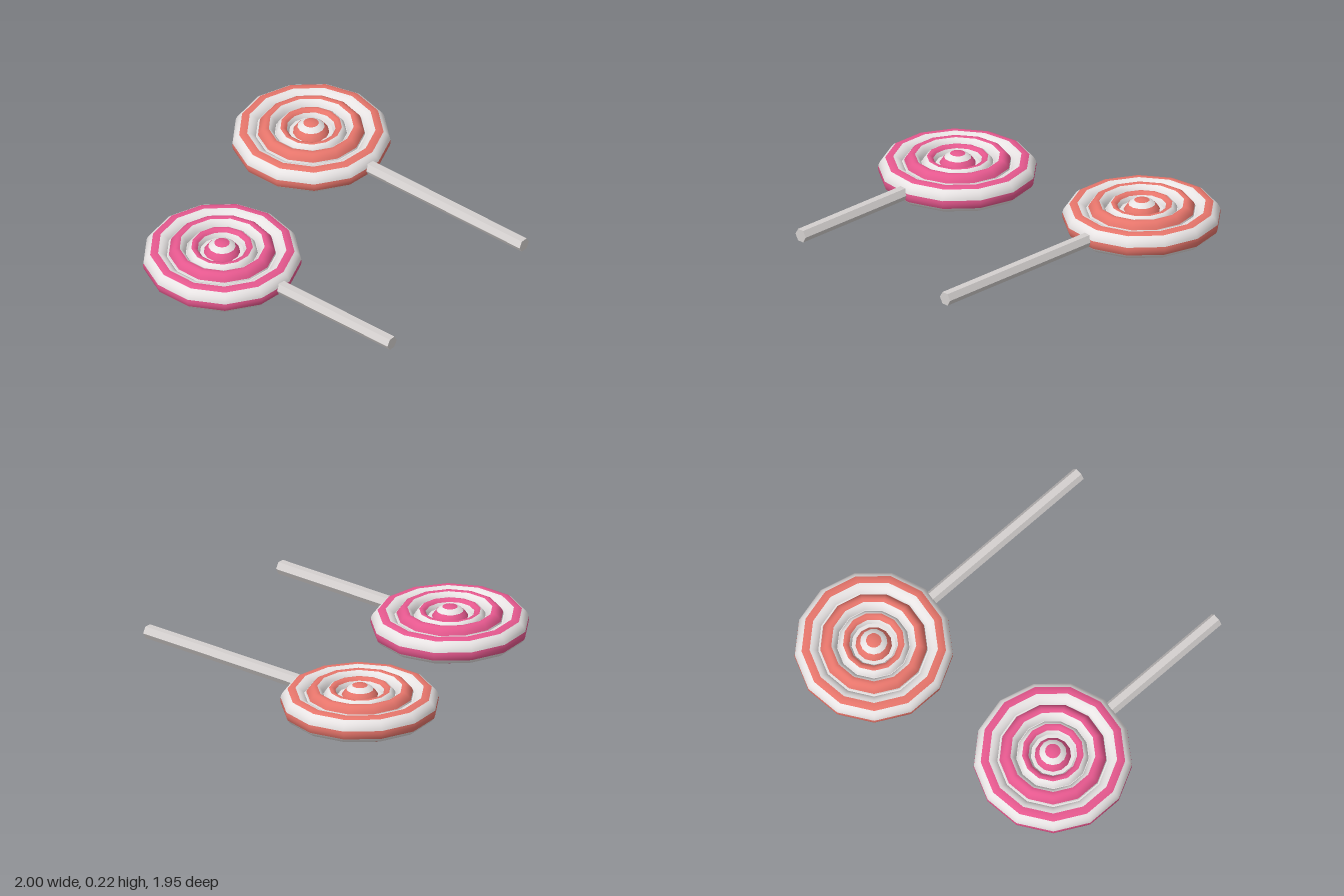
import * as THREE from 'three';

const SIDES = 13;
const MID_Y = 0.112;

// Half-open arcs [from, to, striped] in degrees; 0 = outer rim, 90 = top, 180 = inner side
const RINGS = [
  { name: 'outerRing', c: 0.365, w: 0.073, h: 0.075,
    arcs: [[-180, -98, 0], [-98, -62, 1], [-62, -30, 0], [-30, 10, 1], [10, 62, 0], [62, 98, 1], [98, 180, 0]] },
  { name: 'middleRing', c: 0.25, w: 0.055, h: 0.094,
    arcs: [[-180, -106, 0], [-106, -35, 1], [-35, 35, 0], [35, 106, 1], [106, 180, 0]] },
  { name: 'innerRing', c: 0.16, w: 0.045, h: 0.085,
    arcs: [[-180, -124, 0], [-124, -77, 1], [-77, 77, 0], [77, 124, 1], [124, 180, 0]] },
  { name: 'centreDome', c: 0, w: 0.11, h: 0.112,
    arcs: [[-90, -67, 1], [-67, -47, 0], [-47, 47, 1], [47, 67, 0], [67, 90, 1]] },
];

// Lathe strip along part of an elliptical cross-section
function strip({ c, w, h }, from, to) {
  const n = Math.max(4, Math.ceil((to - from) / 9));
  const points = [];
  for (let i = 0; i <= n; i++) {
    const a = THREE.MathUtils.degToRad(from + (to - from) * i / n);
    points.push(new THREE.Vector2(Math.max(0, c + w * Math.cos(a)), h * Math.sin(a)));
  }
  return new THREE.LatheGeometry(points, SIDES, Math.PI / 2);
}

function makeLollipop(name, x, z, stickEnd, stripe, white, stickMat) {
  const lollipop = new THREE.Group();
  lollipop.name = name;
  lollipop.position.set(x, MID_Y, z);

  // Concentric candy rings with coloured stripes
  for (const ring of RINGS) {
    const group = new THREE.Group();
    group.name = ring.name;
    for (const [from, to, striped] of ring.arcs) {
      const mesh = new THREE.Mesh(strip(ring, from, to), striped ? stripe : white);
      mesh.name = striped ? 'colouredStripe' : 'whiteStripe';
      group.add(mesh);
    }
    lollipop.add(group);
  }

  // Disc filling the bottoms of the grooves
  const core = new THREE.Mesh(
    new THREE.CylinderGeometry(0.36, 0.36, 0.09, SIDES, 1, false, Math.PI / 2), white);
  core.name = 'candyCore';
  lollipop.add(core);

  // Six-sided stick pointing forward
  const start = 0.36, end = stickEnd - z;
  const geo = new THREE.CylinderGeometry(0.04, 0.04, end - start, 6, 1, false, Math.PI / 2);
  geo.rotateX(Math.PI / 2);
  const stick = new THREE.Mesh(geo.toNonIndexed(), stickMat);
  stick.geometry.computeVertexNormals();
  stick.name = 'stick';
  stick.position.z = (start + end) / 2;
  lollipop.add(stick);
  return lollipop;
}

export function createModel() {
  const material = (name, color) => {
    const m = new THREE.MeshStandardMaterial({ color });
    m.name = name;
    return m;
  };
  const pink = material('pink', 0xe5588e);
  const orange = material('coral', 0xe6756b);
  const white = material('white', 0xe8e4e4);
  const stick = material('stickGrey', 0xd4d0cf);

  const model = new THREE.Group();
  model.name = 'lollipops';
  model.add(makeLollipop('pinkLollipop', -0.575, -0.24, 0.967, pink, white, stick));
  model.add(makeLollipop('coralLollipop', 0.562, -0.54, 0.972, orange, white, stick));
  return model;
}
